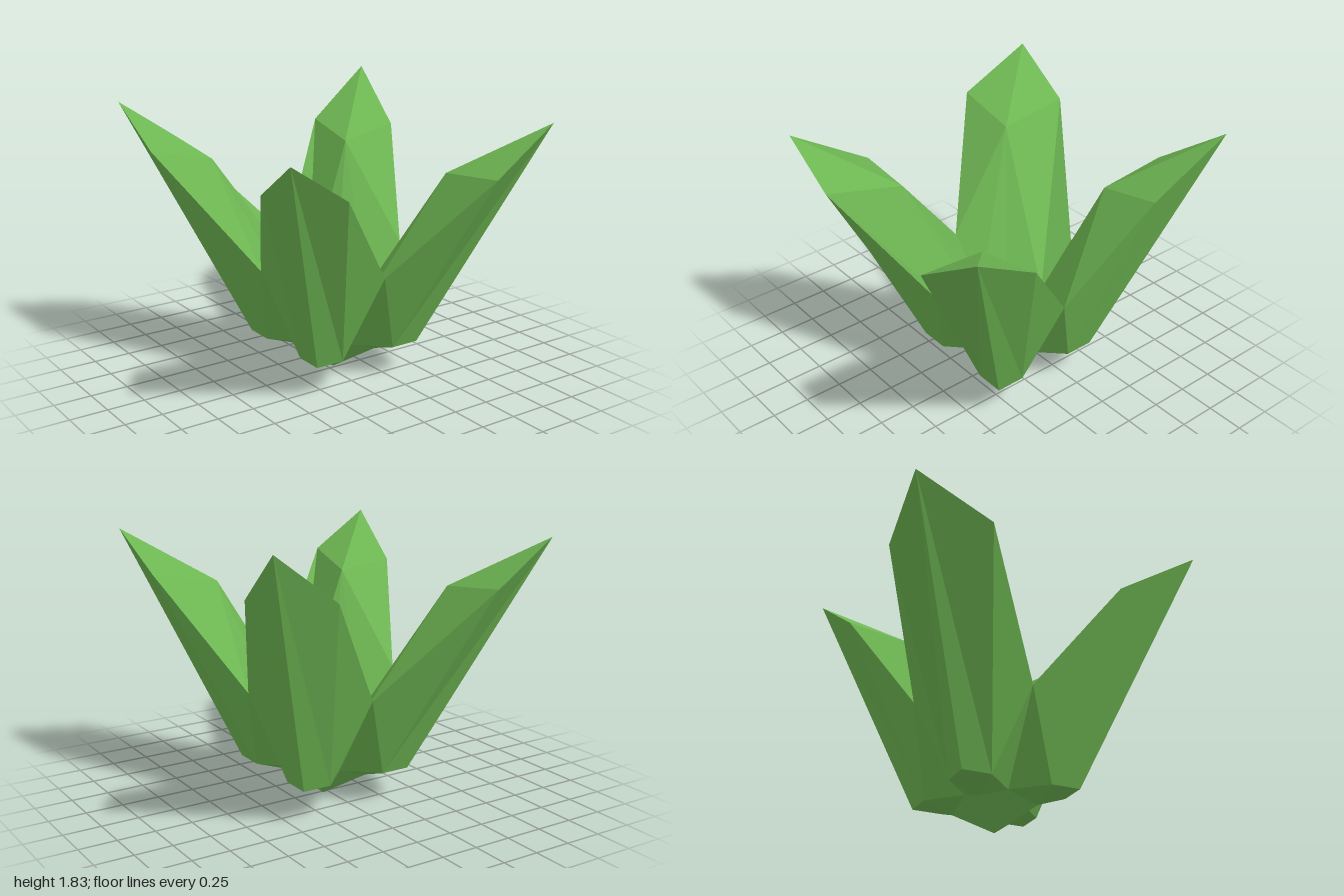
import * as THREE from 'three';

// The plant's axis, around which the four leaves stand
const CX = 0.04, CZ = -0.02;
const green = new THREE.MeshStandardMaterial({ color: 0x6db552, flatShading: true });

// One blocky leaf with its quarter of the hollow centre; sx, sz choose the quadrant.
// Letter A marks the front/back flank, B the left/right flank.
function makeLeaf({ name, sx, sz, tip, sA, sB, inner }) {
  const at = (x, y, z) => [CX + sx * x, y, CZ + sz * z];
  const p = {
    tip, sA, sB, inner,
    // valley shared with the neighbouring leaf: top, inner bend, foot
    topA: at(0, 0.78, 0.56), topB: at(0.555, 0.78, 0),
    bendA: at(0, 0.49, 0.3), bendB: at(0.27, 0.49, 0),
    footA: at(0, 0.22, 0.2), footB: at(0.2, 0.22, 0),
    // base corners
    cornerA: at(0.2, 0.22, 0.395), cornerB: at(0.395, 0.22, 0.2),
    outer: at(0.395, 0.22, 0.395), under: at(0.2, 0.15, 0.2),
    cup: at(0, 0.15, 0), root: at(0, 0, 0),
  };
  const faces = [
    // slanted cap
    'inner sA tip sB',
    // inner walls
    'bendA topA sA inner', 'inner sB topB bendB', 'inner bendB cup bendA',
    // flanks
    'topA cornerA sA', 'topA footA cornerA', 'topB sB cornerB', 'topB cornerB footB',
    // outer walls
    'cornerA outer tip sA', 'tip outer cornerB sB',
    // underside
    'under cornerB outer cornerA', 'footA under cornerA', 'footB cornerB under',
    'root footB under footA',
  ];
  const pos = [];
  for (const face of faces) {
    const c = face.split(' ').map((key) => p[key]);
    if (sx * sz < 0) c.reverse();
    // keep the ridge of a quad on the same corners after mirroring
    if (sx * sz < 0 && c.length === 4) c.unshift(c.pop());
    for (let i = 1; i < c.length - 1; i++) pos.push(...c[0], ...c[i], ...c[i + 1]);
  }
  const geometry = new THREE.BufferGeometry();
  geometry.setAttribute('position', new THREE.Float32BufferAttribute(pos, 3));
  geometry.computeVertexNormals();
  const mesh = new THREE.Mesh(geometry, green);
  mesh.name = name;
  return mesh;
}

export function createModel() {
  const plant = new THREE.Group();
  plant.name = 'plant';
  // The four leaves differ slightly at their tips
  const leaves = [
    { name: 'frontLeftLeaf', sx: 1, sz: 1, tip: [0.99, 1.72, 0.97],
      sA: [0.52, 1.43, 1.0], sB: [0.96, 1.48, 0.54], inner: [0.5, 1.39, 0.55] },
    { name: 'frontRightLeaf', sx: -1, sz: 1, tip: [-0.91, 1.7, 0.95],
      sA: [-0.53, 1.45, 0.95], sB: [-0.8, 1.42, 0.46], inner: [-0.42, 1.38, 0.46] },
    { name: 'backLeftLeaf', sx: 1, sz: -1, tip: [0.95, 1.83, -0.96],
      sA: [0.49, 1.5, -0.89], sB: [0.86, 1.49, -0.48], inner: [0.45, 1.42, -0.46] },
    { name: 'backRightLeaf', sx: -1, sz: -1, tip: [-0.98, 1.76, -1.0],
      sA: [-0.57, 1.48, -1.0], sB: [-1.0, 1.52, -0.51], inner: [-0.57, 1.42, -0.51] },
  ];
  for (const leaf of leaves) plant.add(makeLeaf(leaf));
  return plant;
}
